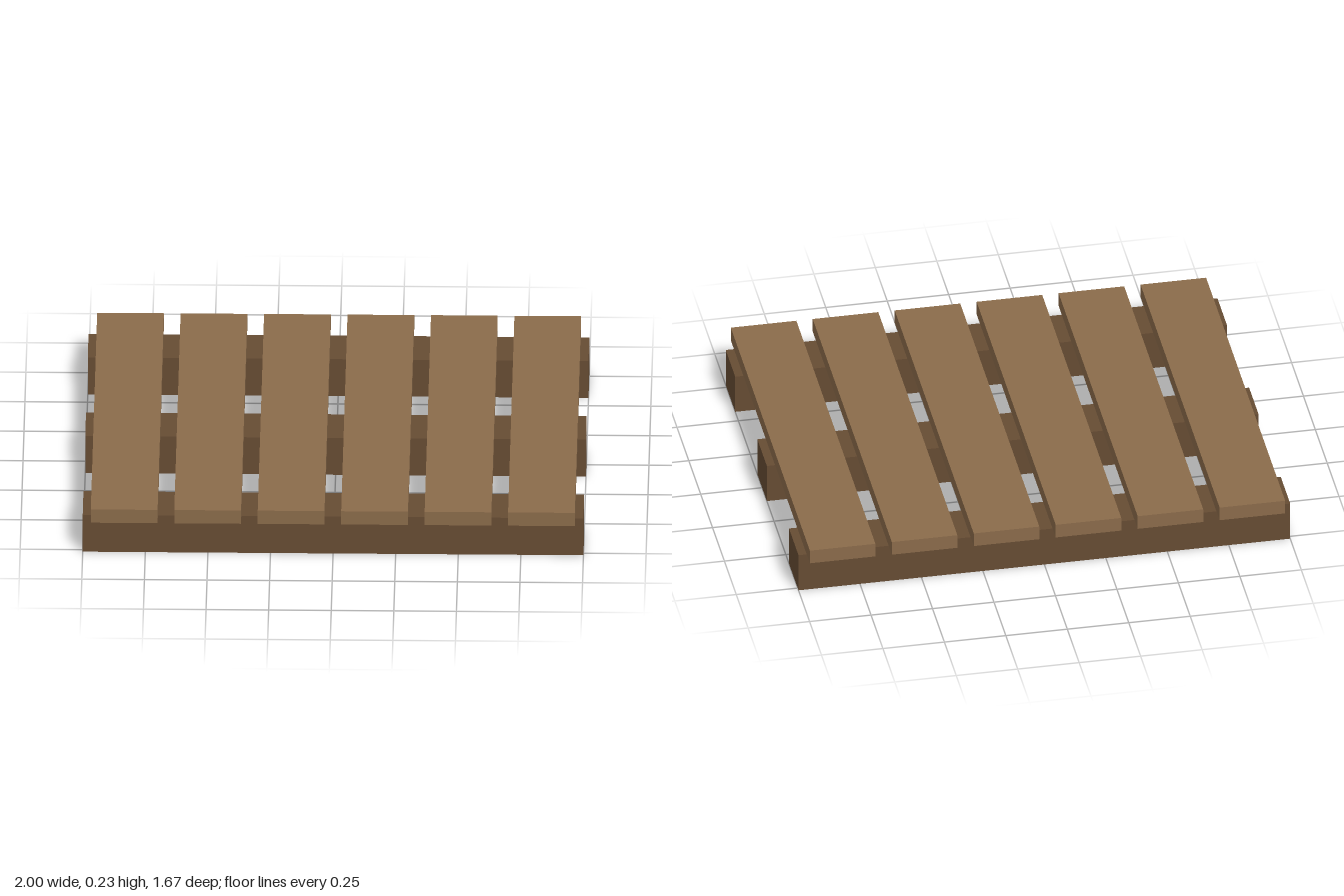
import * as THREE from 'three';

export function createModel() {
  const group = new THREE.Group();
  group.name = 'pallet';

  const slatWood = new THREE.MeshStandardMaterial({ color: 0x8a6b4a });
  slatWood.name = 'light brown wood';
  const runnerWood = new THREE.MeshStandardMaterial({ color: 0x664c33 });
  runnerWood.name = 'dark brown wood';

  const runnerHeight = 0.167, slatHeight = 0.06;

  const addBoard = (name, geometry, material, x, y, z) => {
    const board = new THREE.Mesh(geometry, material);
    board.name = name;
    board.position.set(x, y, z);
    group.add(board);
  };

  // Three runners lying along x
  const runner = new THREE.BoxGeometry(2, runnerHeight, 0.2);
  for (let i = -1; i <= 1; i++) {
    addBoard(`runner${i + 2}`, runner, runnerWood, 0, runnerHeight / 2, i * 0.6667);
  }

  // Six deck slats laid across the runners
  const slat = new THREE.BoxGeometry(0.2667, slatHeight, 1.6667);
  for (let i = 0; i < 6; i++) {
    addBoard(`slat${i + 1}`, slat, slatWood, (i - 2.5) / 3, runnerHeight + slatHeight / 2, 0);
  }

  return group;
}
